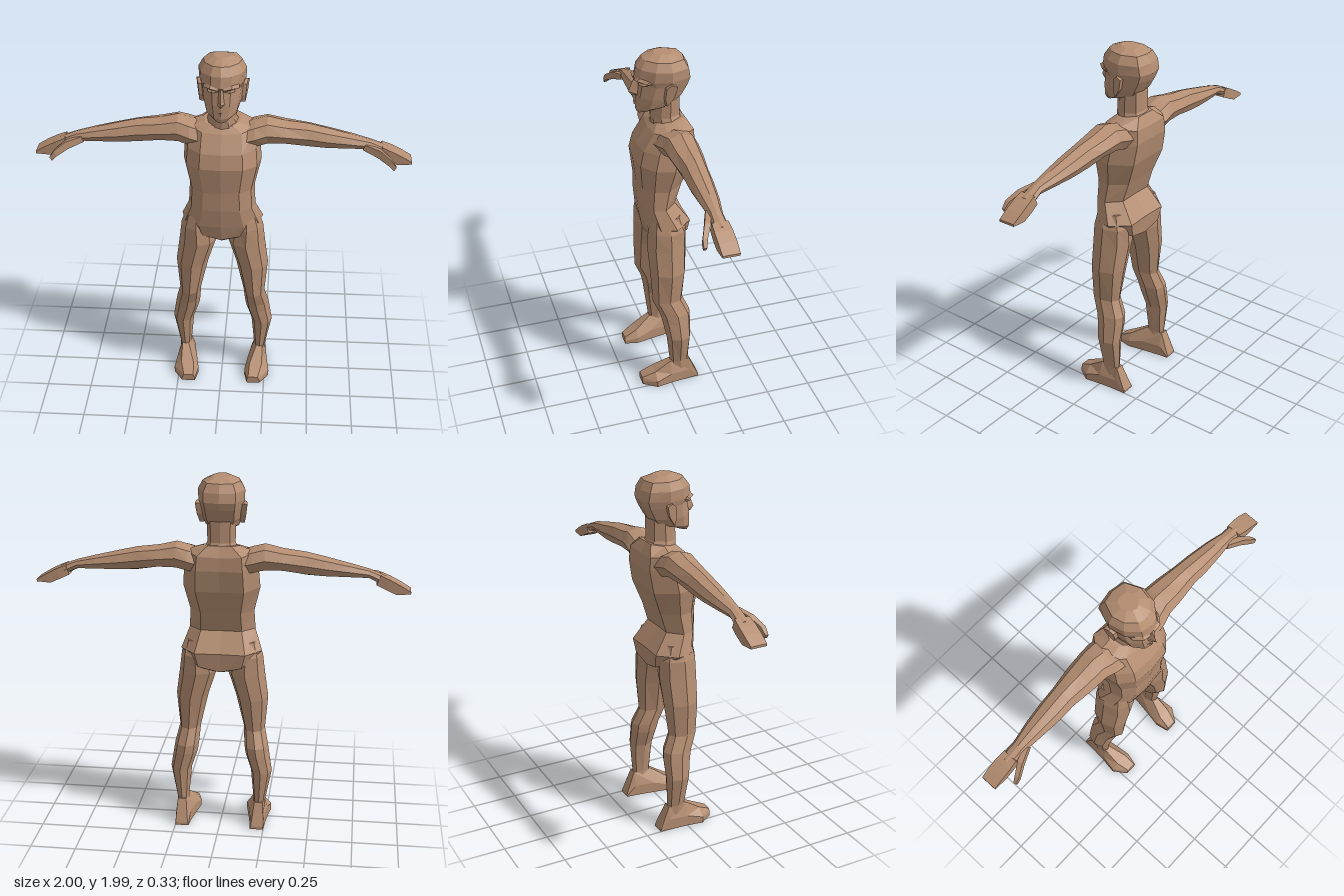
import * as THREE from 'three';

const skin = new THREE.MeshStandardMaterial({ color: 0xb58e72, flatShading: true });
skin.name = 'skin';

// Skin a closed, capped surface over rings of [x, y, z] points
function loft(name, rings) {
  const n = rings[0].length, tris = [];
  for (let i = 0; i < rings.length - 1; i++) {
    for (let j = 0; j < n; j++) {
      const k = (j + 1) % n;
      const a = rings[i][j], b = rings[i][k], c = rings[i + 1][k], d = rings[i + 1][j];
      tris.push([a, b, c], [a, c, d]);
    }
  }
  const cap = (ring, flip) => {
    const mid = [0, 1, 2].map(q => ring.reduce((s, p) => s + p[q], 0) / n);
    ring.forEach((p, j) => {
      const next = ring[(j + 1) % n];
      tris.push(flip ? [mid, next, p] : [mid, p, next]);
    });
  };
  cap(rings[0], true);
  cap(rings[rings.length - 1], false);
  // Turn the faces outward whatever the ring direction
  const v = tris.map(t => t.map(p => new THREE.Vector3(...p)));
  const volume = v.reduce((s, [a, b, c]) => s + a.dot(b.clone().cross(c)), 0);
  const points = v.flatMap(([a, b, c]) => (volume < 0 ? [a, c, b] : [a, b, c]));
  const geometry = new THREE.BufferGeometry().setFromPoints(points);
  geometry.computeVertexNormals();
  const mesh = new THREE.Mesh(geometry, skin);
  mesh.name = name;
  return mesh;
}

// Symmetric ring: half template of [width share, depth share], front to back
function bodyRing(half, yFront, yBack, w, zf, zb, lift = 0) {
  const pts = half.map(([u, t]) => [
    u * w, THREE.MathUtils.lerp(yBack, yFront, t) + lift * u * u, THREE.MathUtils.lerp(zb, zf, t)]);
  const mirrored = pts.slice(1, -1).reverse().map(([x, y, z]) => [-x, y, z]);
  return [...pts, ...mirrored];
}

// Eight-sided limb section in the unit square
const OCT = [[0, 1], [0.68, 0.72], [1, 0], [0.7, -0.75], [0, -1], [-0.7, -0.75], [-1, 0], [-0.68, 0.72]];
const span = (a, b, t) => (a + b) / 2 + (b - a) / 2 * t;
const mirrorX = rings => rings.map(r => r.map(([x, y, z]) => [-x, y, z]));

export function createModel() {
  const model = new THREE.Group();
  model.name = 'figure';

  const pair = (name, rings) => {
    model.add(loft('left' + name, rings), loft('right' + name, mirrorX(rings)));
  };

  // Torso: yFront, yBack, half width, front z, back z, side lift
  const torsoHalf = [[0, 1], [0.55, 0.96], [0.9, 0.74], [1, 0.4], [0.62, 0.02], [0, 0.04]];
  model.add(loft('torso', [
    [0.915, 0.92, 0.07, 0.06, -0.115, 0.02],
    [0.94, 0.925, 0.19, 0.095, -0.13, 0.07],
    [1.03, 1.03, 0.222, 0.112, -0.14, 0],
    [1.14, 1.14, 0.18, 0.125, -0.06, 0],
    [1.25, 1.25, 0.175, 0.128, -0.095, 0],
    [1.4, 1.38, 0.208, 0.145, -0.145, 0],
    [1.48, 1.5, 0.2, 0.125, -0.165, 0],
    [1.57, 1.57, 0.19, 0.065, -0.158, 0.02],
    [1.605, 1.63, 0.1, 0.035, -0.125, 0],
  ].map(r => bodyRing(torsoHalf, ...r))));

  // Neck
  const headHalf = [[0, 1], [0.42, 0.95], [0.86, 0.72], [1, 0.42], [0.68, 0.06], [0, 0]];
  model.add(loft('neck', [
    [1.56, 1.58, 0.1, 0.045, -0.13],
    [1.63, 1.64, 0.075, 0.048, -0.105],
    [1.76, 1.76, 0.078, 0.04, -0.105],
  ].map(r => bodyRing(headHalf, ...r))));

  // Head from chin to crown
  model.add(loft('head', [
    [1.665, 1.715, 0.055, 0.118, -0.02],
    [1.69, 1.73, 0.088, 0.128, -0.085],
    [1.76, 1.76, 0.104, 0.125, -0.112],
    [1.835, 1.82, 0.114, 0.113, -0.145],
    [1.862, 1.86, 0.122, 0.133, -0.16],
    [1.92, 1.91, 0.124, 0.122, -0.15],
    [1.962, 1.955, 0.1, 0.09, -0.125],
    [1.986, 1.978, 0.048, 0.03, -0.07],
  ].map(r => bodyRing(headHalf, ...r))));

  // Nose
  model.add(loft('nose', [
    [[-0.008, 1.855, 0.115], [0, 1.855, 0.133], [0.008, 1.855, 0.115]],
    [[-0.018, 1.785, 0.11], [0, 1.785, 0.163], [0.018, 1.785, 0.11]],
    [[-0.024, 1.768, 0.11], [0, 1.762, 0.145], [0.024, 1.768, 0.11]],
  ]));

  // Mouth
  model.add(loft('mouth', [
    [[-0.035, 1.722, 0.11], [0, 1.732, 0.138], [0.035, 1.722, 0.11]],
    [[-0.03, 1.708, 0.11], [0, 1.71, 0.133], [0.03, 1.708, 0.11]],
  ]));

  // Brows and eyes
  pair('Brow', [
    [[0.012, 1.85, 0.115], [0.012, 1.852, 0.136], [0.012, 1.868, 0.125]],
    [[0.055, 1.86, 0.11], [0.055, 1.862, 0.133], [0.055, 1.875, 0.115]],
    [[0.092, 1.85, 0.06], [0.092, 1.852, 0.09], [0.092, 1.868, 0.075]],
  ]);
  pair('Eye', [
    [[0.022, 1.835, 0.1], [0.022, 1.835, 0.114], [0.022, 1.84, 0.1]],
    [[0.045, 1.826, 0.1], [0.045, 1.836, 0.122], [0.045, 1.846, 0.1]],
    [[0.07, 1.833, 0.08], [0.07, 1.836, 0.1], [0.07, 1.84, 0.08]],
  ]);

  // Ears: thin flared slabs
  const earOutline = [[1.73, -0.005], [1.77, 0.005], [1.83, 0], [1.852, -0.025], [1.84, -0.055], [1.78, -0.04]];
  pair('Ear', [
    earOutline.map(([y, z]) => [0.095, y, z]),
    earOutline.map(([y, z]) => [0.118 + (y - 1.73) * 0.08 - z * 0.2, y, z - 0.005]),
  ]);

  // Arms and hands: x, top y, bottom y, front z, back z
  pair('Arm', [
    [0.1, 1.59, 1.46, 0.07, -0.14],
    [0.17, 1.615, 1.47, 0.065, -0.145],
    [0.235, 1.632, 1.485, 0.048, -0.138],
    [0.33, 1.61, 1.488, 0.04, -0.132],
    [0.45, 1.595, 1.47, 0.022, -0.118],
    [0.55, 1.572, 1.464, 0.02, -0.112],
    [0.68, 1.54, 1.464, 0.008, -0.097],
    [0.78, 1.513, 1.462, -0.005, -0.078],
    [0.87, 1.478, 1.418, 0, -0.086],
  ].map(([x, t, b, f, k]) => OCT.map(([u, v]) => [x, span(b, t, v), span(k, f, u)])));

  // Hands: flat mittens drooping to the fingertips
  pair('Hand', [
    [0.84, 1.487, 1.435, 0, -0.082],
    [0.89, 1.466, 1.412, 0.003, -0.088],
    [0.945, 1.438, 1.388, 0.002, -0.09],
    [1.0, 1.405, 1.393, 0, -0.088],
  ].map(([x, t, b, f, k]) => [[x, t, k], [x, t, f], [x - 0.02 * (x < 1), b, f], [x - 0.02 * (x < 1), b, k]]));

  // Thumbs
  pair('Thumb', [
    [0.75, 1.485, 0.0, -0.025, 0.015],
    [0.83, 1.462, 0.032, 0.0, 0.02],
    [0.89, 1.425, 0.06, 0.034, 0.016],
    [0.915, 1.395, 0.062, 0.045, 0.01],
  ].map(([x, y, f, k, h]) => [[x, y + h, k], [x, y + h, f], [x - 0.012, y - h, f], [x - 0.012, y - h, k]]));

  // Legs: y, inner x, outer x, front z, back z
  pair('Leg', [
    [1.08, 0.08, 0.195, 0.085, -0.08],
    [1.0, 0.05, 0.224, 0.103, -0.11],
    [0.9, 0.03, 0.236, 0.107, -0.112],
    [0.75, 0.078, 0.256, 0.1, -0.102],
    [0.56, 0.122, 0.24, 0.09, -0.08],
    [0.47, 0.128, 0.262, 0.052, -0.12],
    [0.42, 0.135, 0.27, 0.04, -0.122],
    [0.32, 0.168, 0.286, 0.022, -0.118],
    [0.14, 0.185, 0.252, 0, -0.108],
    [0.08, 0.18, 0.25, -0.005, -0.12],
  ].map(([y, a, b, f, k]) => OCT.map(([u, v]) => [span(a, b, u), y, span(k, f, v)])));

  // Feet from heel to toe: z, inner x, outer x, top y, top inner x, top outer x
  pair('Foot', [
    [-0.165, 0.175, 0.25, 0.015, 0.18, 0.245],
    [-0.11, 0.17, 0.252, 0.14, 0.195, 0.242],
    [0, 0.152, 0.262, 0.14, 0.198, 0.235],
    [0.09, 0.135, 0.276, 0.08, 0.165, 0.235],
    [0.165, 0.152, 0.225, 0.04, 0.16, 0.215],
  ].map(([z, a, b, t, ta, tb]) => [
    [a, 0, z], [b, 0, z], [b, t * 0.45, z], [tb, t, z], [ta, t, z], [a, t * 0.45, z]]));

  return model;
}
